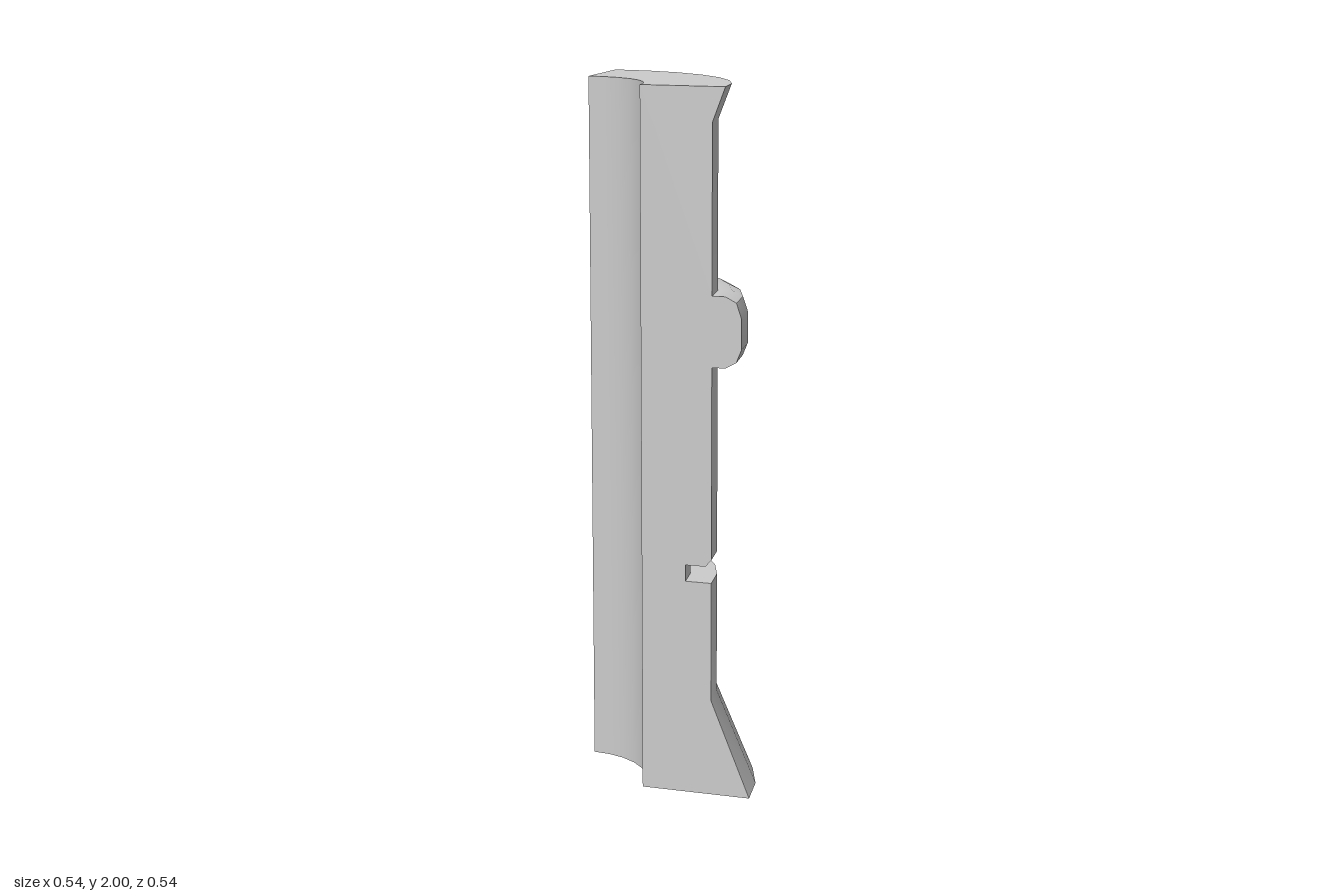
import * as THREE from 'three';
import { toCreasedNormals } from 'three/addons/utils/BufferGeometryUtils.js';

// Closed cross-section as [radius, height], counterclockwise
const PROFILE = [
  [0.222, 0], [0.538, 0], [0.425, 0.28],                       // flared foot
  [0.425, 0.625], [0.35, 0.625], [0.35, 0.672], [0.408, 0.672], [0.425, 0.692], // groove
  [0.425, 1.238], [0.463, 1.238], [0.494, 1.255], [0.508, 1.29],                // raised band
  [0.508, 1.378], [0.494, 1.42], [0.463, 1.436], [0.425, 1.436],
  [0.425, 1.905], [0.461, 2], [0.222, 2],                      // flared lip
];
const AXIS = 0.27; // the axis of revolution stands at x = -AXIS, z = AXIS

export function createModel() {
  const group = new THREE.Group();
  group.name = 'quarterSleeve';
  const material = new THREE.MeshStandardMaterial({ color: 0xcccccc });
  const add = (name, geometry) => {
    const mesh = new THREE.Mesh(geometry, material);
    mesh.name = name;
    mesh.position.set(-AXIS, 0, AXIS);
    group.add(mesh);
  };
  const points = PROFILE.map(([r, y]) => new THREE.Vector2(r, y));

  // Quarter turn of the profile: outer wall, bore, top and bottom
  const wall = new THREE.LatheGeometry([...points, points[0].clone()], 7, Math.PI / 2, Math.PI / 2);
  add('sleeveWall', toCreasedNormals(wall, 0.5));

  // Flat cut faces closing both ends of the quarter turn
  add('frontCutFace', new THREE.ShapeGeometry(new THREE.Shape(points)));
  const mirrored = points.map((p) => new THREE.Vector2(-p.x, p.y));
  add('sideCutFace', new THREE.ShapeGeometry(new THREE.Shape(mirrored)).rotateY(-Math.PI / 2));

  return group;
}
